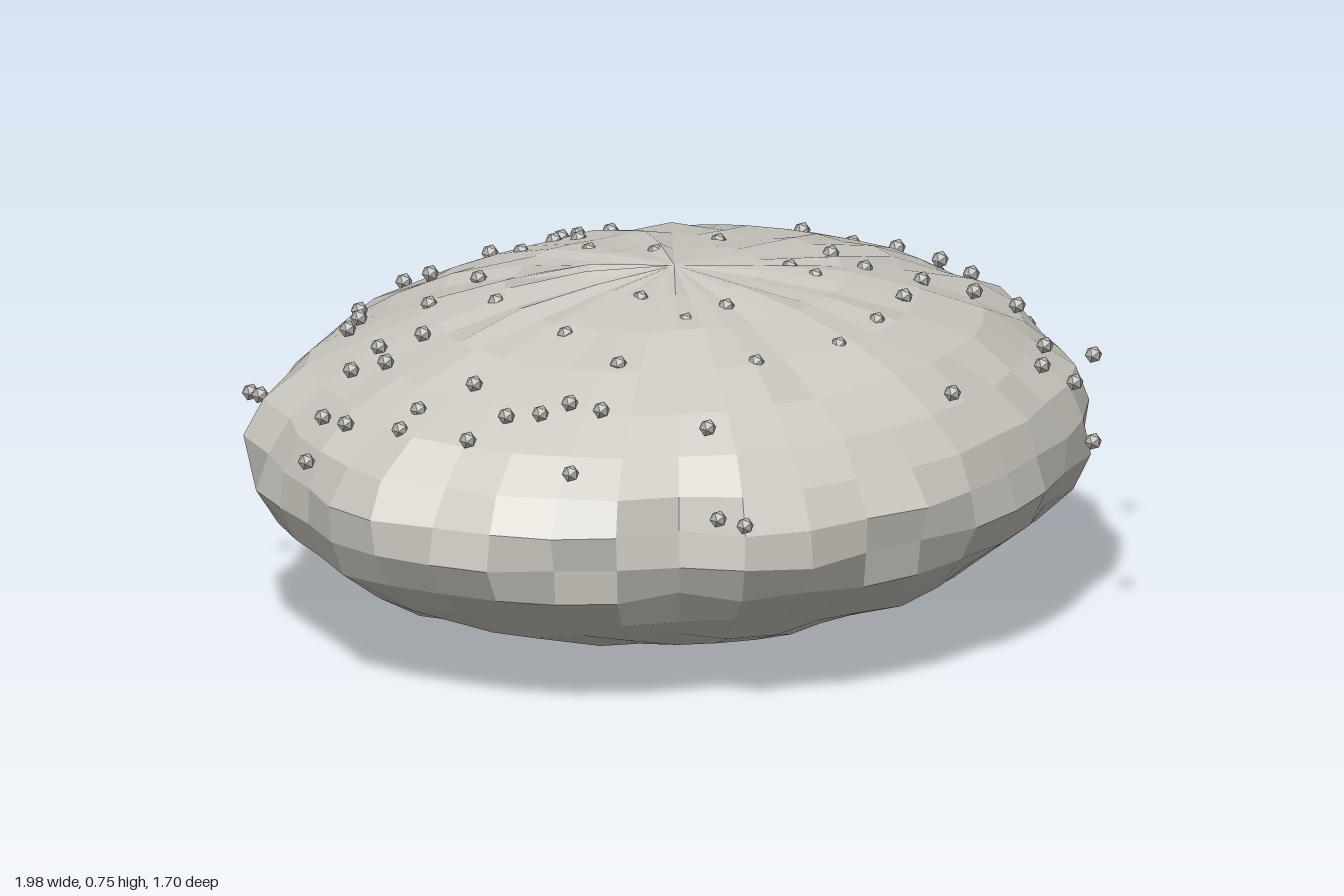
import * as THREE from 'three';

const SEGMENTS = 40, RINGS = 15;
const CENTRE_Y = 0.38;

// Girth around the waist, from -x by way of +z
const GIRTH = [
  1.05, 1.02, 1.0, 0.985, 0.97, 0.93, 1.01, 1.025, 1.01, 1.005,
  1.015, 1.0, 0.98, 0.985, 1.005, 0.99, 0.985, 0.995, 1.0, 1.0,
  1.0, 1.05, 1.06, 1.045, 1.03, 1.05, 1.0, 0.975, 0.995, 1.035,
  1.03, 1.025, 1.0, 0.985, 1.0, 1.03, 1.005, 0.985, 0.995, 1.03,
];

// Pebble places on the upper face: x, z
const PEBBLES = [
  [-.91, -.24], [-.81, -.28], [-.83, -.20], [-.66, -.33], [-.57, -.33], [-.63, -.26], [-.51, -.26],
  [-.65, -.59], [-.54, -.71], [-.46, -.51], [-.40, -.53], [-.34, -.58], [-.36, -.37], [-.33, -.21],
  [-.20, -.37], [-.11, -.58], [-.02, -.73], [.06, -.56], [.02, -.44], [.16, -.40], [.15, -.46],
  [.22, -.50], [.31, -.53], [.38, -.50], [.42, -.59], [.32, -.81], [.41, -.75], [.68, -.50], [.04, -.27],
  [.09, -.13], [.26, -.10], [.66, -.21], [.80, -.19], [.78, -.05], [.92, -.06], [.98, .14],
  [.88, .07], [.72, .12], [.39, .10], [.21, .14], [.21, .21], [.37, .21], [.31, .37],
  [.45, .30], [.55, .36], [.63, .41], [.83, .45], [.52, .58], [.43, .65], [.50, .68], [.43, .79],
  [.08, .70], [-.03, .48], [.14, .44], [-.24, .43], [-.09, .22], [-.21, .21], [-.18, .06],
  [-.41, .05], [-.66, .01], [-.83, -.05], [-.77, -.05], [-.81, .12], [-.72, .15], [-.68, .21],
  [-.62, .24], [-.45, .23], [-.77, .37], [-.60, .31], [-.49, .51], [-.62, .65], [-.58, .69],
];

function seeded(seed) {
  return () => {
    seed = (seed + 0x6d2b79f5) | 0;
    let t = Math.imul(seed ^ (seed >>> 15), 1 | seed);
    t = (t + Math.imul(t ^ (t >>> 7), 61 | t)) ^ t;
    return ((t ^ (t >>> 14)) >>> 0) / 4294967296;
  };
}

// Flattened sphere with each vertex pushed in or out, shaded in four-sided facets
function boulderGeometry() {
  const random = seeded(17);
  const sphere = new THREE.SphereGeometry(1, SEGMENTS, RINGS);
  const p = sphere.attributes.position;
  for (let ring = 0; ring <= RINGS; ring++) {
    const breadth = Math.sin(Math.PI * ring / RINGS);
    const pole = ring === 0 || ring === RINGS;
    const scales = GIRTH.map((girth) => {
      const rough = pole ? 1 : 0.965 + random() * 0.045;
      return rough * THREE.MathUtils.lerp(1, girth, breadth ** 6);
    });
    for (let k = 0; k <= SEGMENTS; k++) {
      const i = ring * (SEGMENTS + 1) + k;
      const s = scales[k % SEGMENTS];
      p.setXYZ(i, p.getX(i) * 0.955 * s, p.getY(i) * 0.373 * s, p.getZ(i) * 0.835 * s);
    }
  }

  // Both triangles of each facet share one normal
  const geometry = sphere.toNonIndexed();
  geometry.computeVertexNormals();
  const n = geometry.attributes.normal;
  const a = new THREE.Vector3(), b = new THREE.Vector3();
  for (let v = SEGMENTS * 3; v < n.count - SEGMENTS * 3; v += 6) {
    a.fromBufferAttribute(n, v).add(b.fromBufferAttribute(n, v + 3)).normalize();
    for (let j = 0; j < 6; j++) n.setXYZ(v + j, a.x, a.y, a.z);
  }
  return geometry;
}

export function createModel() {
  const group = new THREE.Group();
  group.name = 'rock';

  const stone = new THREE.MeshStandardMaterial({ color: 0xcbc8c0 });
  stone.name = 'pale warm grey stone';
  const grit = new THREE.MeshStandardMaterial({ color: 0xb0aeaa, flatShading: true });
  grit.name = 'mid grey grit';

  const boulder = new THREE.Mesh(boulderGeometry(), stone);
  boulder.name = 'boulder';
  boulder.position.y = CENTRE_Y;
  group.add(boulder);

  // Small pebbles lying just over the upper surface
  const pebbles = new THREE.Group();
  pebbles.name = 'pebbles';
  const pebbleGeometry = new THREE.IcosahedronGeometry(0.019, 0);
  for (const [x, z] of PEBBLES) {
    const rise = Math.sqrt(Math.max(0.02, 1 - x * x - (z / 0.88) ** 2));
    const pebble = new THREE.Mesh(pebbleGeometry, grit);
    pebble.name = 'pebble';
    pebble.position.set(x, CENTRE_Y - 0.01 + 0.37 * rise, z);
    pebbles.add(pebble);
  }
  group.add(pebbles);

  return group;
}
